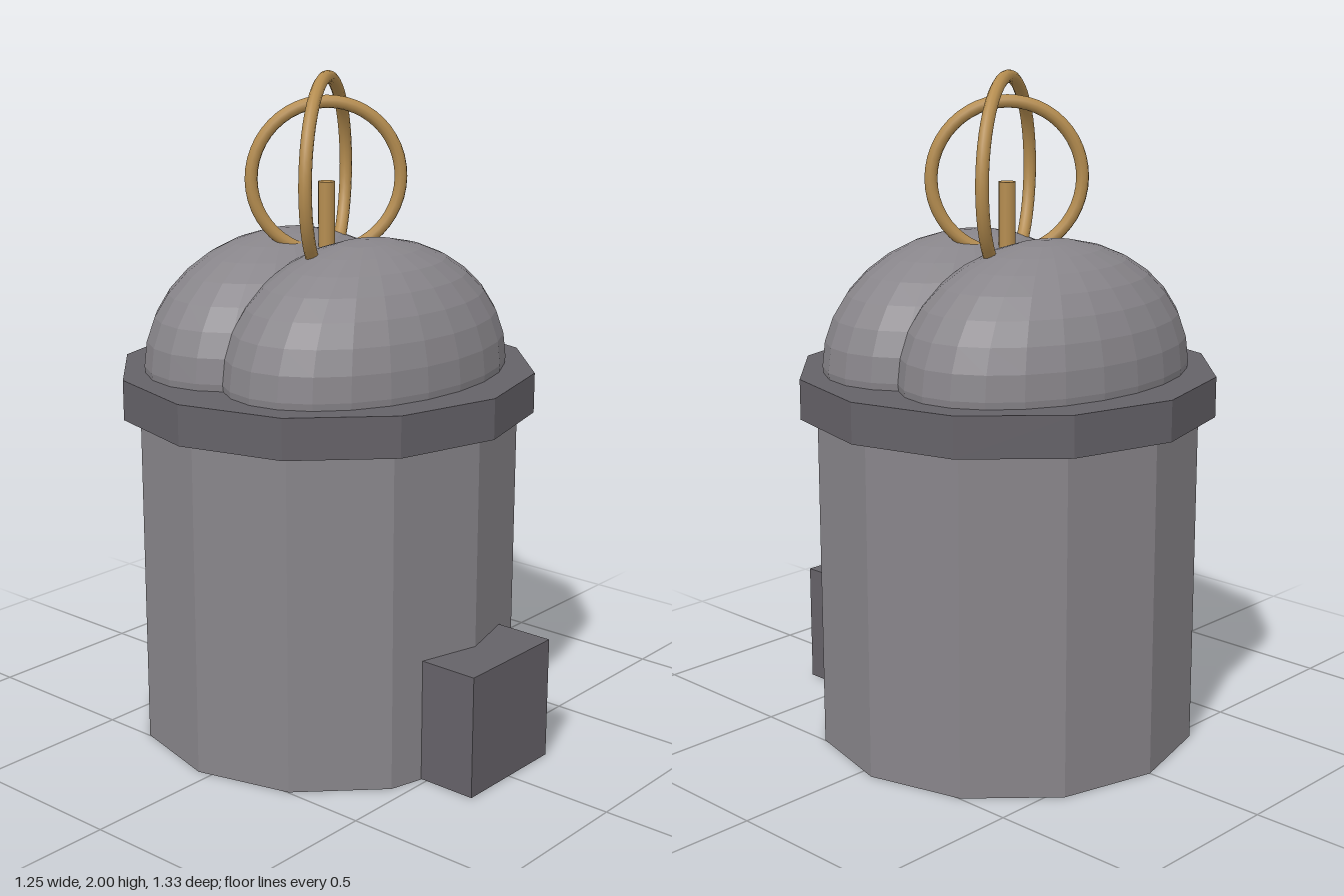
import * as THREE from 'three';

export function createModel() {
  const model = new THREE.Group();
  const centreZ = -0.043;
  const material = (color, flatShading) => new THREE.MeshStandardMaterial({ color, flatShading });
  const stone = material(0x88858a, true);
  const darkStone = material(0x656268, true);
  const brass = material(0xb58d50, false);

  function add(name, geometry, mat, x, y, z) {
    const mesh = new THREE.Mesh(geometry, mat);
    mesh.name = name;
    mesh.position.set(x, y, z);
    model.add(mesh);
    return mesh;
  }

  // Twelve-sided body and overhanging rim
  add('body', new THREE.CylinderGeometry(0.575, 0.575, 1.02, 12), stone, 0, 0.51, centreZ);
  add('rim', new THREE.CylinderGeometry(0.625, 0.625, 0.12, 12), darkStone, 0, 1.07, centreZ);

  // Block at the foot of the front
  add('frontBlock', new THREE.BoxGeometry(0.37, 0.37, 0.37), darkStone, 0, 0.187, 0.48);

  // Two overlapping squashed domes
  for (const side of [1, -1]) {
    const dome = add(side > 0 ? 'frontDome' : 'backDome',
      new THREE.SphereGeometry(1, 24, 16), stone, 0, 1.15, centreZ + side * 0.157);
    dome.scale.set(0.505, 0.375, 0.347);
  }

  // Crossed rings, sunk into the domes
  const rings = [
    ['largeRing', 0.287, 1.695, 0.51],
    ['smallRing', 0.222, 1.69, -0.7],
  ];
  for (const [name, radius, y, turn] of rings) {
    const ring = add(name, new THREE.TorusGeometry(radius, 0.019, 10, 48), brass, 0, y, centreZ);
    ring.rotation.y = turn;
  }

  // Short central post
  add('post', new THREE.CylinderGeometry(0.025, 0.025, 0.24, 12), brass, 0, 1.56, centreZ);

  return model;
}
